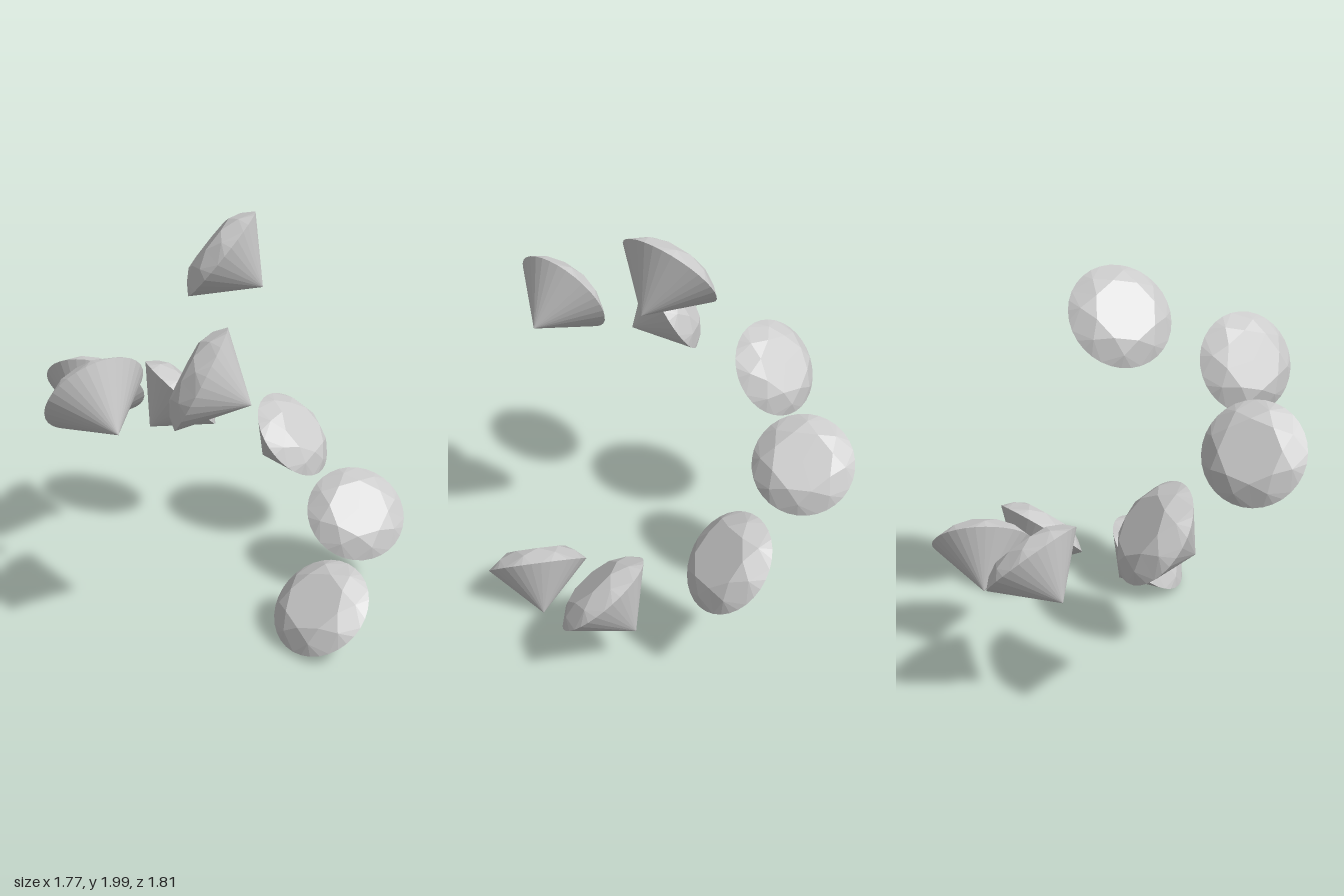
import * as THREE from 'three';

const RADIUS = 0.25;      // girdle radius
const DEPTH = 0.246;      // girdle to pointed tip
const SEGMENTS = 32;      // girdle sides
const MAINS = 8;          // table sides

// Round brilliant cut: girdle at y = 0, table above, tip below
function gemGeometry() {
  const at = (r, y, turn) => {
    const a = turn * Math.PI * 2;
    return [r * Math.cos(a), y, r * Math.sin(a)];
  };
  const table = (i) => at(0.15, 0.078, i / MAINS);
  const middle = (i) => at(0.2056, 0.047, (i + 0.5) / MAINS);
  const girdle = (k) => at(RADIUS, 0, k / SEGMENTS);
  const tip = [0, -DEPTH, 0];
  const step = SEGMENTS / MAINS;
  const points = [];
  const tri = (a, b, c) => points.push(...a, ...b, ...c);

  for (let i = 0; i < MAINS; i++) {
    const t = table(i), m = middle(i), g = girdle(i * step);
    tri([0, 0.078, 0], table(i + 1), t);       // table
    tri(t, table(i + 1), m);                   // star facet
    tri(t, m, g);                              // kite facet, two halves
    tri(t, g, middle(i - 1));
    for (let k = i * step; k < (i + 1) * step; k++) {
      tri(m, girdle(k + 1), girdle(k));        // upper girdle facets
      tri(tip, girdle(k), girdle(k + 1));      // pavilion facets
    }
  }
  const geometry = new THREE.BufferGeometry();
  geometry.setAttribute('position', new THREE.Float32BufferAttribute(points, 3));
  geometry.computeVertexNormals();
  return geometry;
}

// Girdle centre and table direction of each gem, rising along a spiral
const GEMS = [
  { centre: [0.64, 0.193, 0], facing: [0, 0.753, 0.657] },
  { centre: [0.388, 0.406, -0.53], facing: [0.577, 0.74, 0.382] },
  { centre: [-0.185, 0.613, -0.665], facing: [0.71, 0.685, -0.22] },
  { centre: [-0.645, 0.83, -0.275], facing: [0.275, 0.69, -0.65] },
  { centre: [-0.65, 1.037, 0.292], facing: [-0.43, 0.6, -0.68] },
  { centre: [-0.196, 1.248, 0.658], facing: [-0.85, 0.525, -0.15] },
  { centre: [0.382, 1.458, 0.53], facing: [-0.69, 0.45, 0.56] },
  { centre: [-0.04, 1.802, 0], facing: [-0.63, 0.615, 0.475] },
];

export function createModel() {
  const group = new THREE.Group();
  group.name = 'gemSpiral';
  const geometry = gemGeometry();
  const material = new THREE.MeshStandardMaterial({ color: 0xcccccc, flatShading: true });
  const up = new THREE.Vector3(0, 1, 0);

  GEMS.forEach(({ centre, facing }, i) => {
    const gem = new THREE.Mesh(geometry, material);
    gem.name = `gem${i + 1}`;
    gem.position.set(...centre);
    gem.quaternion.setFromUnitVectors(up, new THREE.Vector3(...facing).normalize());
    group.add(gem);
  });
  return group;
}
